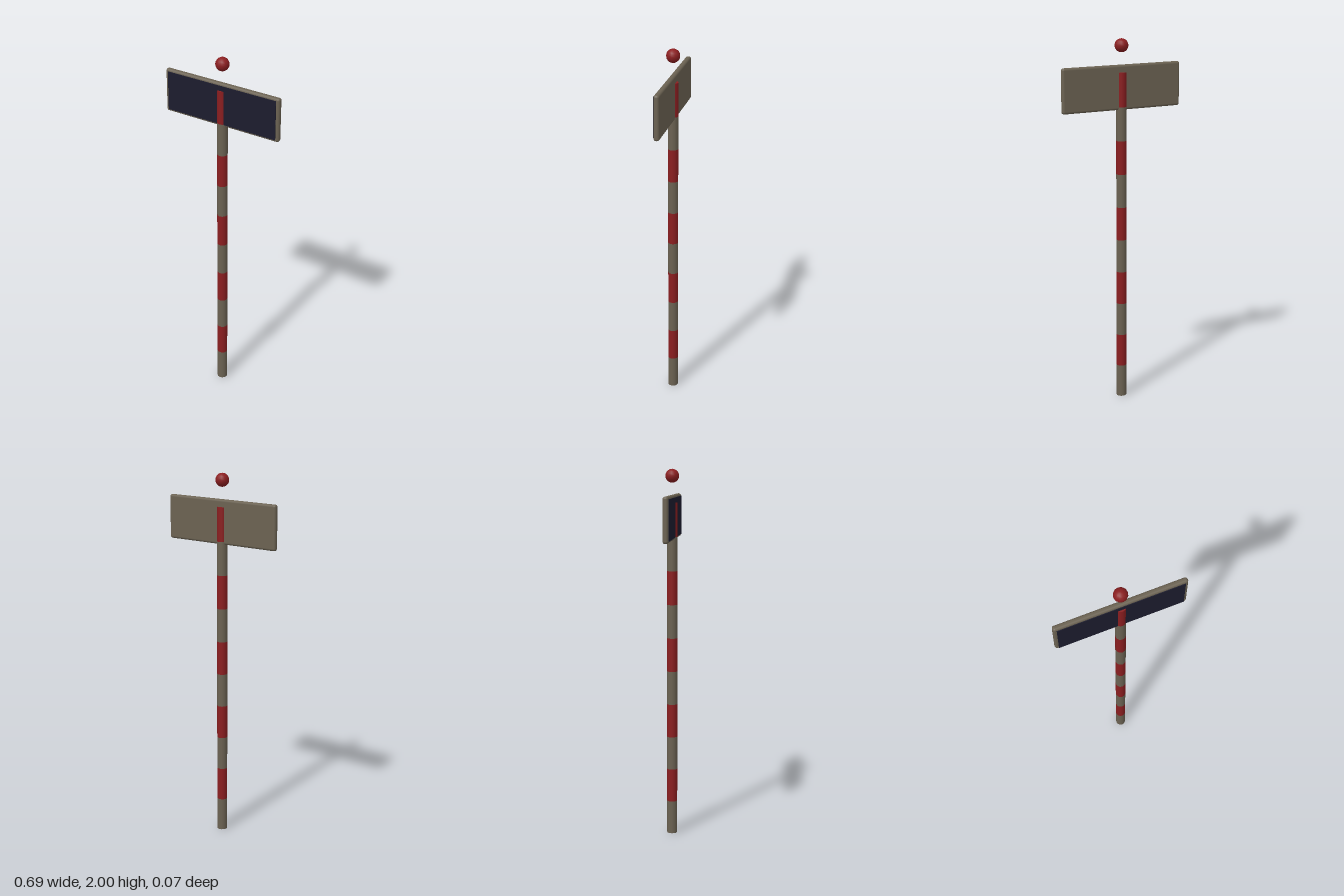
import * as THREE from 'three';
import { RoundedBoxGeometry } from 'three/addons/geometries/RoundedBoxGeometry.js';

const material = (name, color) => {
  const m = new THREE.MeshStandardMaterial({ color });
  m.name = name;
  return m;
};

export function createModel() {
  const model = new THREE.Group();
  model.name = 'stripedSignpost';
  const stone = material('weathered grey', 0x6b6252);
  const red = material('dark red', 0x8b1e20);
  const navy = material('dark navy', 0x1c1c2e);

  const add = (name, geometry, mat, y, z = 0, parent = model) => {
    const mesh = new THREE.Mesh(geometry, mat);
    mesh.name = name;
    mesh.position.set(0, y, z);
    parent.add(mesh);
    return mesh;
  };

  // Pole: ten equal bands, grey at the foot, alternating with red
  const pole = new THREE.Group();
  pole.name = 'pole';
  model.add(pole);
  const bands = 10, bandHeight = 0.1823, radius = 0.028;
  for (let i = 0; i < bands; i++) {
    const isRed = i % 2 === 1;
    add(isRed ? 'redBand' : 'greyBand',
      new THREE.CylinderGeometry(radius, radius, bandHeight, 12),
      isRed ? red : stone, (i + 0.5) * bandHeight, 0, pole);
  }

  // Sign: soft-edged backing board with a thin dark panel on the front
  const signY = 1.744;
  add('signBoard', new RoundedBoxGeometry(0.692, 0.238, 0.03, 3, 0.0125), stone, signY);
  add('signPanel', new THREE.BoxGeometry(0.658, 0.212, 0.006), navy, signY, 0.0155);

  // Ball floating above the sign
  add('topBall', new THREE.SphereGeometry(0.0365, 12, 10), red, 1.9635);

  return model;
}
